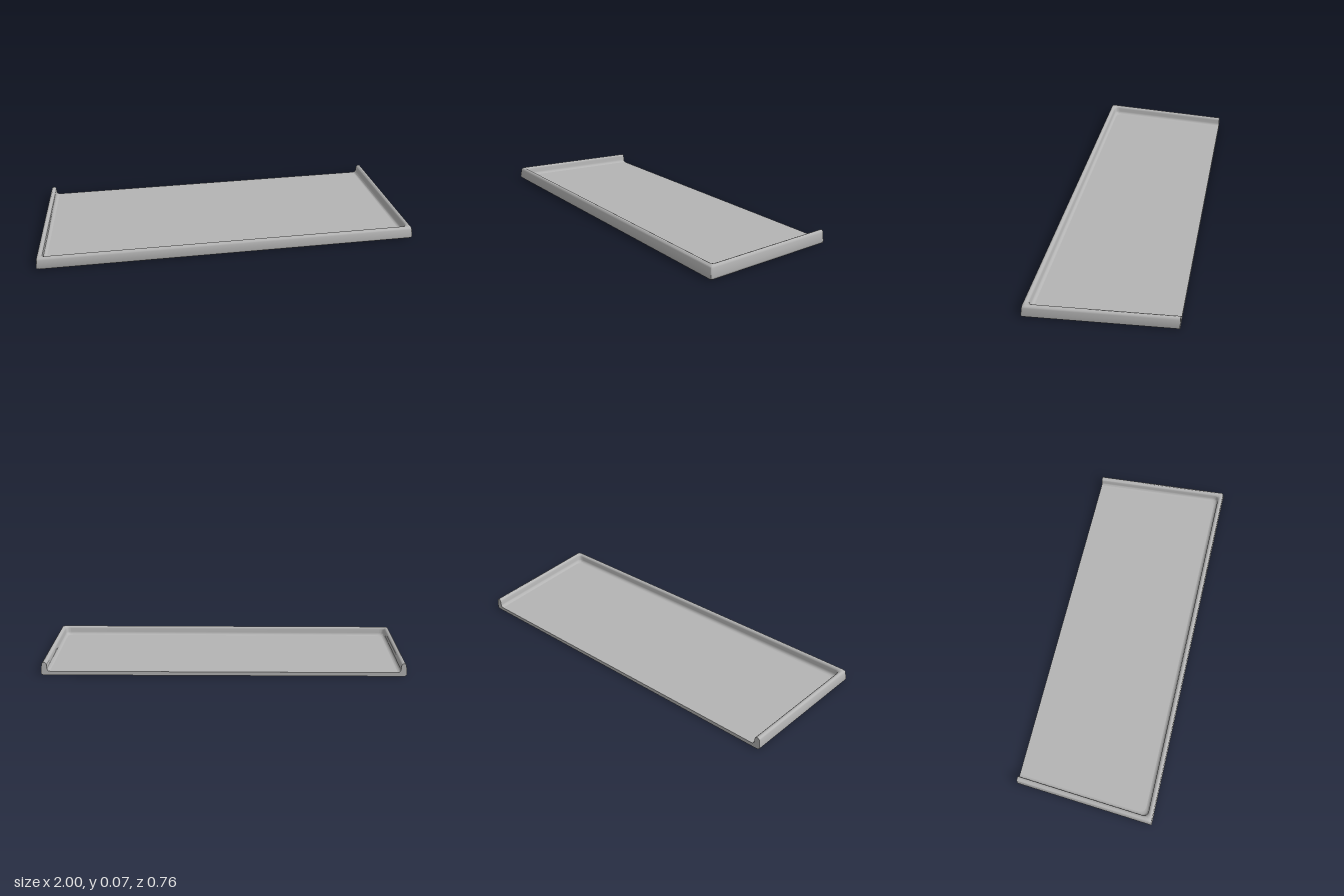
import * as THREE from 'three';
import { toCreasedNormals } from 'three/addons/utils/BufferGeometryUtils.js';

const V2 = (x, y) => new THREE.Vector2(x, y);

// Plan corners (x, z): back left edge, front edge, back right edge
const A = V2(-0.945, -0.38), B = V2(-1, 0.357), C = V2(1, 0.377), D = V2(0.95, -0.365);

// Rim section from underside, over the top, down to the floor: [inset, height]
const PROFILE = [
  [0.012, 0], [0.006, 0.002], [0.002, 0.006], [0, 0.013],
  [0.005, 0.055], [0.007, 0.062], [0.012, 0.067], [0.018, 0.069],
  [0.024, 0.067], [0.029, 0.062], [0.031, 0.055],
  [0.032, 0.036], [0.034, 0.028], [0.039, 0.022], [0.047, 0.02],
];

// Line through p and q, moved inward by d
function insetLine(p, q, d) {
  const u = q.clone().sub(p).normalize();
  return { p: V2(p.x + u.y * d, p.y - u.x * d), u };
}

function meet(a, b) {
  const t = b.p.clone().sub(a.p).cross(b.u) / a.u.cross(b.u);
  return a.p.clone().addScaledVector(a.u, t);
}

// One open loop round three sides, with rounded front corners
function ring([d, y]) {
  const [left, front, right] = [[A, B], [B, C], [C, D]].map(([p, q]) => insetLine(p, q, d));
  const back = insetLine(A, D, 0);
  const r = 0.008 + d * 0.7;
  const corner = (l, m) => {
    const p = meet(l, m);
    return new THREE.QuadraticBezierCurve(
      p.clone().addScaledVector(l.u, -r), p, p.clone().addScaledVector(m.u, r)).getPoints(8);
  };
  return [meet(left, back), ...corner(left, front), ...corner(front, right), meet(right, back)]
    .map(p => new THREE.Vector3(p.x, y, p.y));
}

function geometryFrom(points, index) {
  const g = new THREE.BufferGeometry().setFromPoints(points);
  g.setIndex(index);
  g.computeVertexNormals();
  return g;
}

// Flat face over an outline, facing the given direction
function cap(points, flatten, normal) {
  const tris = THREE.ShapeUtils.triangulateShape(points.map(flatten), []);
  const index = tris.flatMap(([a, b, c]) => {
    const n = new THREE.Triangle(points[a], points[b], points[c]).getNormal(new THREE.Vector3());
    return n.dot(normal) < 0 ? [a, c, b] : [a, b, c];
  });
  return geometryFrom(points, index);
}

export function createModel() {
  const group = new THREE.Group();
  group.name = 'tray';
  const grey = new THREE.MeshStandardMaterial({ color: 0xb4b4b4 });
  grey.name = 'grey';
  const add = (name, geometry) => {
    const mesh = new THREE.Mesh(geometry, grey);
    mesh.name = name;
    group.add(mesh);
  };

  const rings = PROFILE.map(ring);
  const n = rings[0].length;

  // Raised rim along the left, front and right
  const index = [];
  for (let j = 0; j < rings.length - 1; j++) {
    for (let i = 0; i < n - 1; i++) {
      const a = j * n + i;
      index.push(a, a + 1, a + n + 1, a, a + n + 1, a + n);
    }
  }
  add('rim', toCreasedNormals(geometryFrom(rings.flat(), index), 0.7));

  // Floor and underside
  const plan = p => V2(p.x, p.z);
  add('floor', cap(rings.at(-1), plan, new THREE.Vector3(0, 1, 0)));
  add('underside', cap(rings[0], plan, new THREE.Vector3(0, -1, 0)));

  // Open back: floor edge and both cut rim ends
  const section = [...rings.map(r => r[0]), ...rings.map(r => r[n - 1]).reverse()];
  add('backEdge', cap(section, p => V2(p.x, p.y), new THREE.Vector3(0, 0, -1)));

  return group;
}
